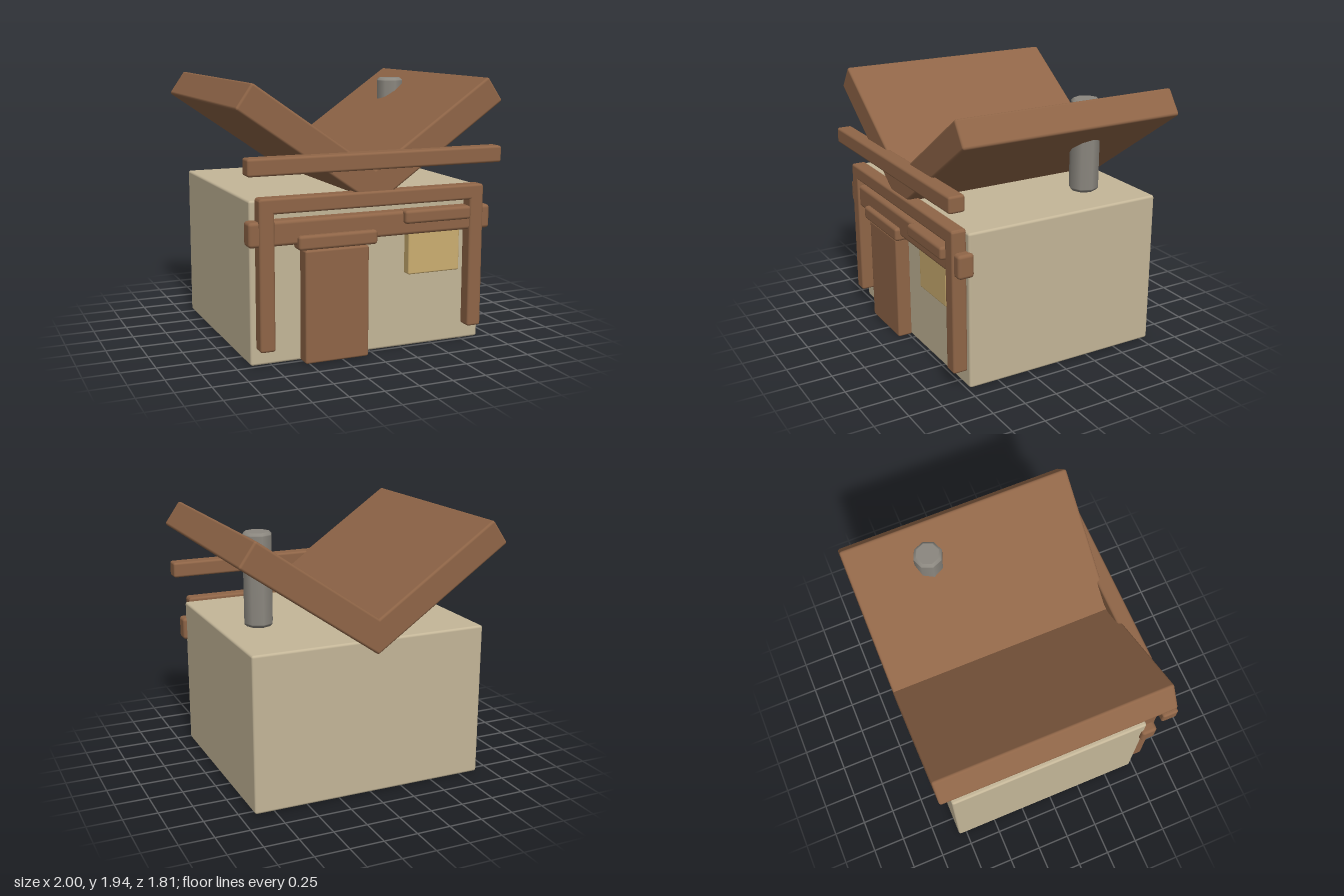
import * as THREE from 'three';
import { RoundedBoxGeometry } from 'three/addons/geometries/RoundedBoxGeometry.js';

function material(name, color) {
  const m = new THREE.MeshStandardMaterial({ color });
  m.name = name;
  return m;
}

export function createModel() {
  const model = new THREE.Group();
  model.name = 'hut';
  const plaster = material('plaster', 0xc4b698);
  const wood = material('wood', 0x8f6547);
  const glow = material('windowYellow', 0xccae70);
  const stone = material('chimneyGrey', 0x8b877f);

  // Softly bevelled box given by its extents on each axis
  function block(name, mat, [x0, x1], [y0, y1], [z0, z1], radius = 0.018) {
    const geo = new RoundedBoxGeometry(x1 - x0, y1 - y0, z1 - z0, 2, radius);
    const mesh = new THREE.Mesh(geo, mat);
    mesh.name = name;
    mesh.position.set((x0 + x1) / 2, (y0 + y1) / 2, (z0 + z1) / 2);
    model.add(mesh);
    return mesh;
  }

  // Main house body
  block('body', plaster, [-0.895, 0.895], [0, 1.155], [-0.81, 0.73]);

  // Butterfly roof: two slabs meeting in a valley, mirrored
  for (const side of [-1, 1]) {
    const slab = block(side > 0 ? 'roofLeft' : 'roofRight', wood,
      [-0.616, 0.616], [-0.105, 0.105], [-0.905, 0.82]);
    slab.position.x = side * 0.441;
    slab.position.y = 1.509;
    slab.rotation.z = side * 0.607;
  }

  // Beam across the roof front
  block('roofBeam', wood, [-0.957, 0.957], [1.34, 1.46], [0.785, 0.905]);

  // Porch frame: two posts, a top beam and a cross rail
  for (const side of [-1, 1]) {
    const x = side * 0.803;
    block(side > 0 ? 'postLeft' : 'postRight', wood,
      [x - 0.055, x + 0.055], [0.12, 1.175], [0.725, 0.837]);
  }
  block('frameBeam', wood, [-0.855, 0.855], [1.07, 1.18], [0.725, 0.837]);
  block('crossRail', wood, [-0.927, 0.923], [0.847, 1.022], [0.70, 0.822], 0.025);

  // Door and its lintel
  block('door', wood, [-0.53, -0.053], [0, 0.803], [0.72, 0.837], 0.015);
  block('doorLintel', wood, [-0.583, 0.003], [0.81, 0.912], [0.74, 0.86], 0.022);

  // Window and its hood
  block('window', glow, [0.273, 0.685], [0.55, 0.93], [0.72, 0.80], 0.012);
  block('windowHood', wood, [0.215, 0.742], [0.933, 1.03], [0.74, 0.866], 0.022);

  // Eight-sided chimney with bevelled rims, passing through the roof
  const profile = [
    [0, 1.22], [0.084, 1.22], [0.088, 1.22], [0.106, 1.237], [0.107, 1.245],
    [0.107, 1.867], [0.106, 1.874], [0.088, 1.89], [0.084, 1.89], [0, 1.89],
  ].map(([r, y]) => new THREE.Vector2(r, y));
  const chimney = new THREE.Mesh(new THREE.LatheGeometry(profile, 8), stone);
  chimney.name = 'chimney';
  chimney.position.set(0.668, 0, -0.335);
  model.add(chimney);

  return model;
}
